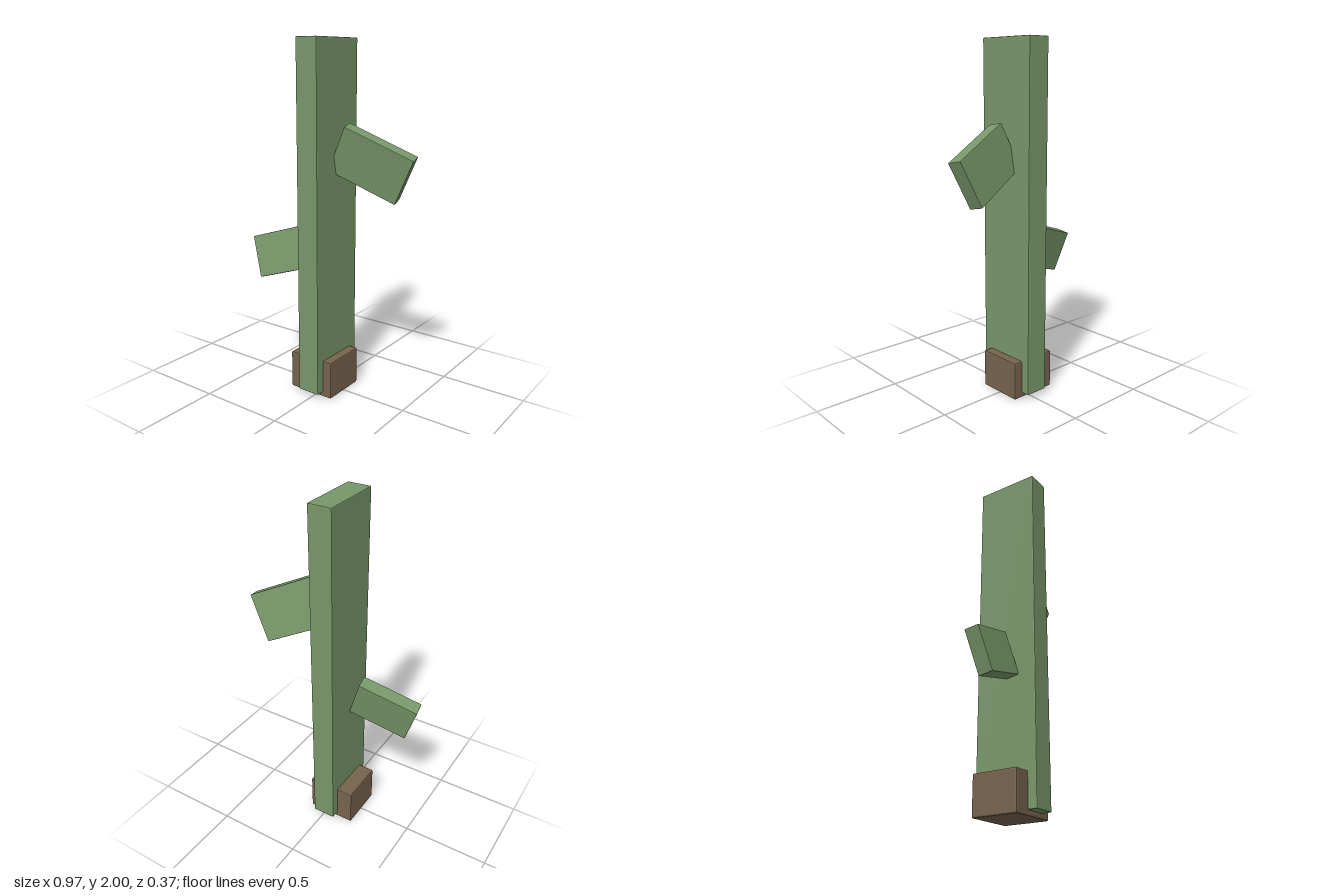
import * as THREE from 'three';
import { RoundedBoxGeometry } from 'three/addons/geometries/RoundedBoxGeometry.js';

// Box with a narrow flat chamfer on every edge
function chamferedBox(name, size, bevel, material) {
  const geometry = new RoundedBoxGeometry(...size, 1, bevel);
  geometry.computeVertexNormals();
  const mesh = new THREE.Mesh(geometry, material);
  mesh.name = name;
  return mesh;
}

// Turn a mesh so its x axis runs along `along` and its y axis lies towards `up`
function orient(mesh, along, up) {
  const x = new THREE.Vector3(...along).normalize();
  const z = x.clone().cross(new THREE.Vector3(...up)).normalize();
  const y = z.clone().cross(x);
  mesh.quaternion.setFromRotationMatrix(new THREE.Matrix4().makeBasis(x, y, z));
}

export function createModel() {
  const green = new THREE.MeshStandardMaterial({ color: 0x779769 });
  green.name = 'leafGreen';
  const brown = new THREE.MeshStandardMaterial({ color: 0x77634d });
  brown.name = 'earthBrown';

  const model = new THREE.Group();
  model.name = 'plant';

  // Root block at the foot
  const base = chamferedBox('base', [0.284, 0.22, 0.268], 0.008, brown);
  base.position.set(-0.037, 0.11, 0.001);

  // Tall flat stem passing through the block
  const stem = chamferedBox('stem', [0.135, 1.97, 0.37], 0.005, green);
  stem.position.set(-0.015, 1.015, 0.001);

  // Two tilted slabs growing from the sides
  const upperLeaf = chamferedBox('leftLeaf', [0.41, 0.275, 0.081], 0.003, green);
  upperLeaf.position.set(0.24, 1.344, -0.056);
  orient(upperLeaf, [0.36, -0.165, -0.108], [0.113, 0.25, 0.023]);

  const lowerLeaf = chamferedBox('rightLeaf', [0.352, 0.245, 0.079], 0.003, green);
  lowerLeaf.position.set(-0.279, 0.797, 0.056);
  orient(lowerLeaf, [0.33, 0.105, -0.066], [-0.076, 0.23, -0.035]);

  model.add(base, stem, upperLeaf, lowerLeaf);
  return model;
}
